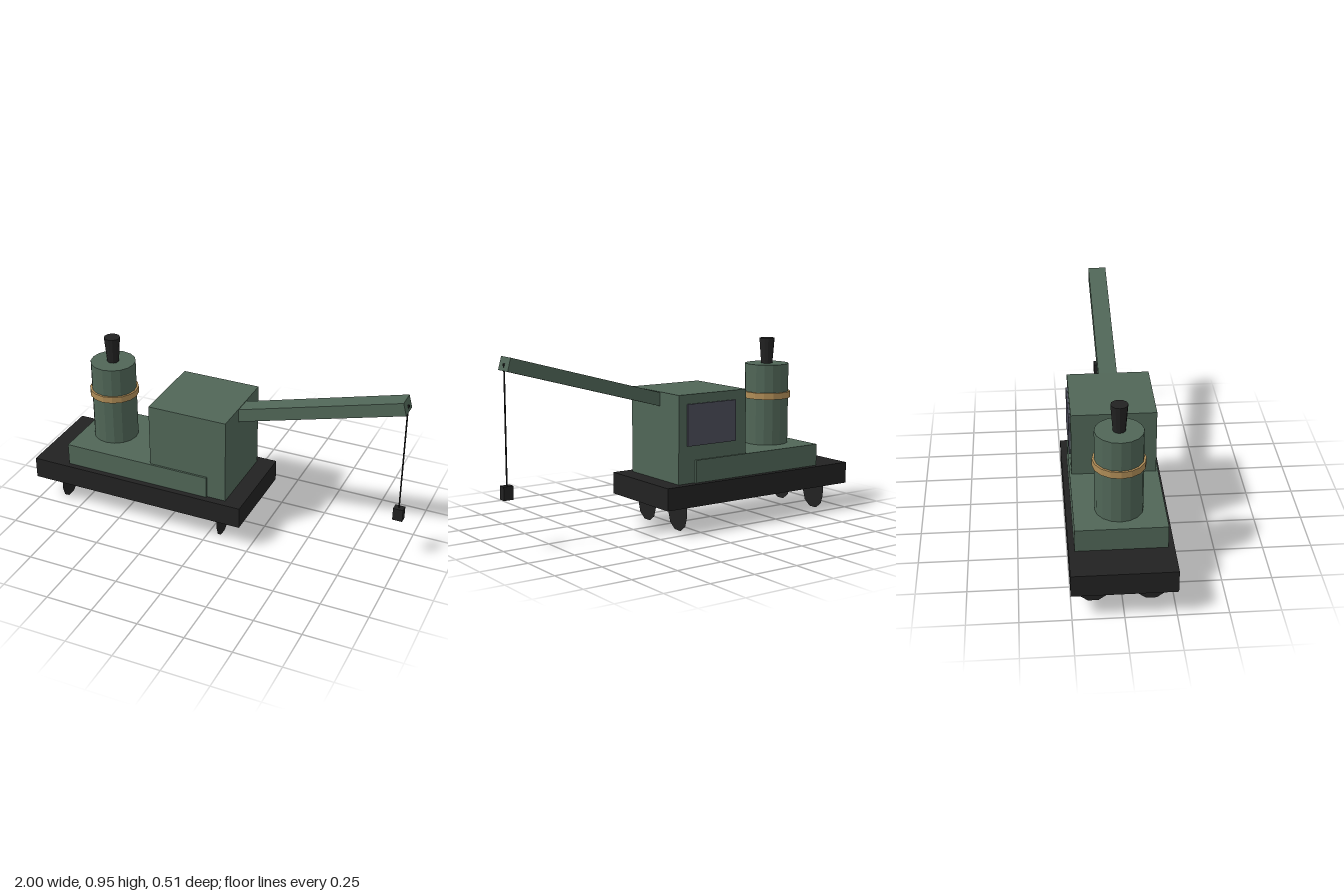
import * as THREE from 'three';

const mat = (name, color, extra = {}) => {
  const m = new THREE.MeshStandardMaterial({ color, ...extra });
  m.name = name;
  return m;
};

export function createModel() {
  const group = new THREE.Group();
  const green = mat('green paint', 0x506657, { flatShading: true });
  const black = mat('black iron', 0x222222, { flatShading: true, side: THREE.DoubleSide });
  const brass = mat('brass', 0xb08d57, { flatShading: true });
  const glass = mat('window glass', 0x4b4c59);

  const add = (name, geometry, material, x, y, z = 0) => {
    const mesh = new THREE.Mesh(geometry, material);
    mesh.name = name;
    mesh.position.set(x, y, z);
    group.add(mesh);
    return mesh;
  };
  // Box given by its limits along each axis
  const box = (name, material, x0, x1, y0, y1, z0, z1) =>
    add(name, new THREE.BoxGeometry(x1 - x0, y1 - y0, z1 - z0), material,
      (x0 + x1) / 2, (y0 + y1) / 2, (z0 + z1) / 2);
  const drum = (name, material, x, y0, y1, rTop, rBottom, sides) =>
    add(name, new THREE.CylinderGeometry(rTop, rBottom, y1 - y0, sides), material, x, (y0 + y1) / 2);

  // Wagon bed, deck and cabin
  box('wagonBed', black, -1, 0.208, 0.14, 0.256, -0.254, 0.254);
  box('deck', green, -0.806, 0.01, 0.256, 0.374, -0.224, 0.224);
  box('cabin', green, -0.316, 0.113, 0.256, 0.715, -0.214, 0.214);
  box('cabinWindow', glass, -0.245, 0.062, 0.45, 0.666, -0.223, -0.214);
  box('handleBar', green, -0.326, -0.316, 0.584, 0.598, -0.045, 0.045);
  box('handleLatch', green, -0.322, -0.316, 0.566, 0.584, -0.045, -0.035);

  // Boiler with its band and chimney
  drum('boiler', green, -0.63, 0.374, 0.812, 0.119, 0.119, 16);
  drum('boilerBand', brass, -0.63, 0.625, 0.66, 0.13, 0.13, 16);
  drum('chimney', black, -0.63, 0.812, 0.95, 0.042, 0.031, 12);

  // Slanted boom, reaching into the cabin
  const angle = 0.266, length = 0.95;
  const boom = add('boom', new THREE.BoxGeometry(length, 0.068, 0.097), green,
    0.971 - Math.cos(angle) * length / 2, 0.91 - Math.sin(angle) * length / 2);
  boom.rotation.z = angle;

  // Cable with its pin and hanging weight
  box('boomPin', black, 0.955, 0.979, 0.9, 0.911, -0.005, 0.005);
  drum('cable', black, 0.973, 0.32, 0.9, 0.004, 0.004, 6);
  box('weight', black, 0.948, 1, 0.254, 0.322, -0.02, 0.02);

  // Flat wheels: lower half of a decagon with straight sides above
  const r = 0.082, points = [new THREE.Vector2(-r, 0.072)];
  for (const d of [-90, -54, -18, 18, 54, 90]) {
    const a = THREE.MathUtils.degToRad(d);
    points.push(new THREE.Vector2(r * Math.sin(a), -r * Math.cos(a)));
  }
  points.push(new THREE.Vector2(r, 0.072));
  const wheel = new THREE.ShapeGeometry(new THREE.Shape(points)).rotateY(Math.PI / 2);
  for (const x of [-0.86, 0.068])
    for (const z of [-0.141, 0.141]) add('wheel', wheel, black, x, 0.078, z);

  return group;
}
